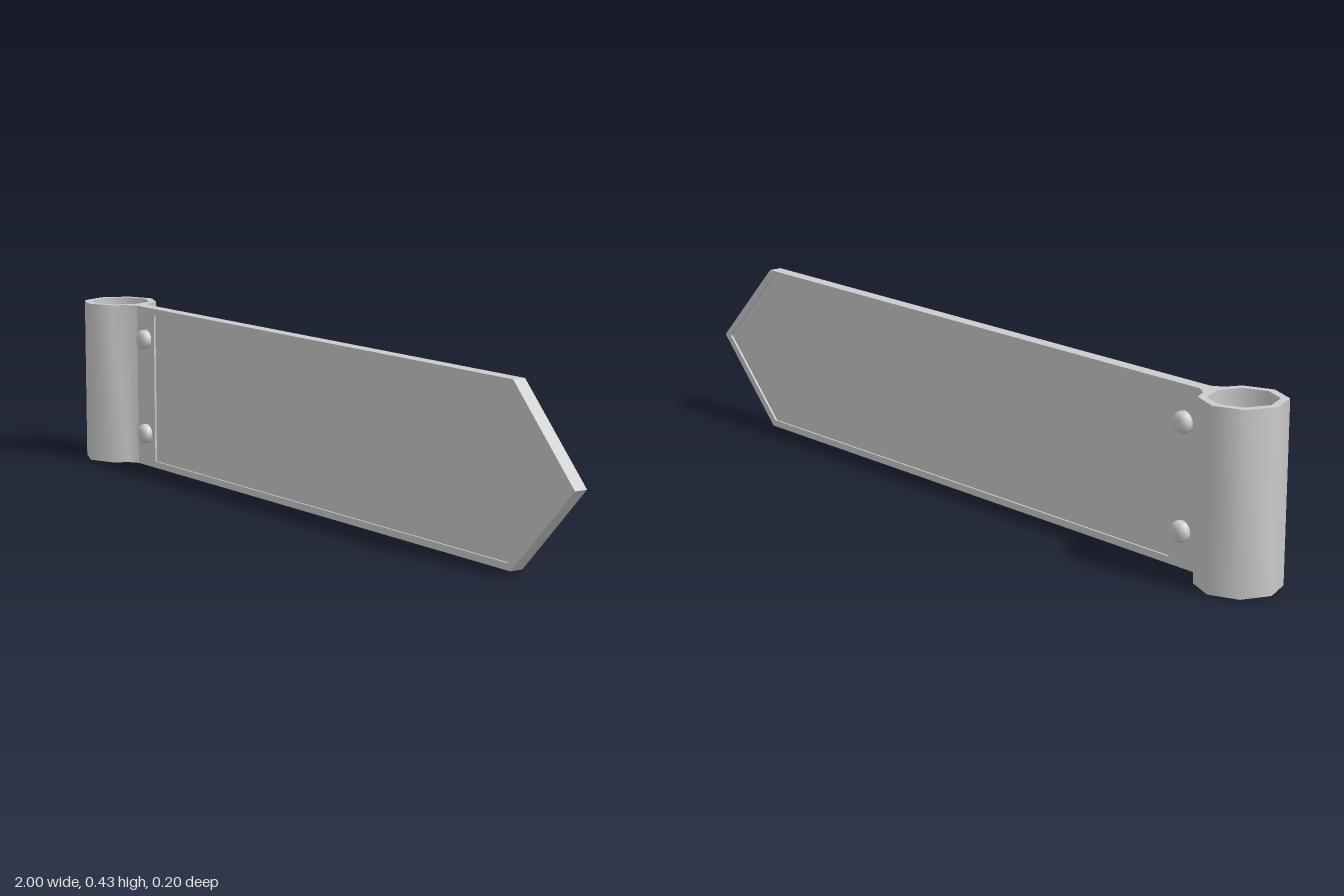
import * as THREE from 'three';
import { toCreasedNormals } from 'three/addons/utils/BufferGeometryUtils.js';

const HEIGHT = 0.43;
const HALF = 0.017; // half thickness of the board
const RECESS = 0.005; // depth of the sunken panel

export function createModel() {
  const group = new THREE.Group();
  const material = new THREE.MeshStandardMaterial({ color: 0xcccccc });

  const add = (name, geometry) => {
    const mesh = new THREE.Mesh(geometry, material);
    mesh.name = name;
    group.add(mesh);
    return mesh;
  };
  const points = (list) => list.map(([x, y]) => new THREE.Vector2(x, y));
  const extrude = (shape, depth) => new THREE.ExtrudeGeometry(shape, { depth, bevelEnabled: false });

  // Arrow outline: straight left end, pointed right end
  const arrow = (left, shoulder, tip, inset) => points([
    [left, inset], [shoulder, inset], [tip, HEIGHT / 2],
    [shoulder, HEIGHT - inset], [left, HEIGHT - inset],
  ]);
  const panelOutline = arrow(-0.7, 0.78, 0.975, 0.017);

  // Raised rim of the board, open where the panel sits
  const rim = new THREE.Shape(arrow(-0.785, 0.79, 1, 0));
  rim.holes.push(new THREE.Path(panelOutline));
  add('boardRim', extrude(rim, HALF * 2).translate(0, 0, -HALF));

  // Panel sunken on both faces
  const panelHalf = HALF - RECESS;
  add('boardPanel', extrude(new THREE.Shape(panelOutline), panelHalf * 2).translate(0, 0, -panelHalf));

  // Eight-sided pole sleeve with a neck flowing into the board
  const ring = (radius, first, last) => {
    const list = [];
    for (let i = first; i <= last; i++) {
      const a = (i * Math.PI) / 4;
      list.push([-0.9 + radius * Math.cos(a), radius * Math.sin(a)]);
    }
    return list;
  };
  const sleeve = new THREE.Shape(points([
    [-0.785, HALF], [-0.811, 0.034], ...ring(0.1, 1, 7), [-0.811, -0.034], [-0.785, -HALF],
  ]));
  sleeve.holes.push(new THREE.Path(points(ring(0.08, 0, 7))));
  add('poleSleeve', toCreasedNormals(extrude(sleeve, HEIGHT).rotateX(-Math.PI / 2), 0.9));

  // Domed rivets on both faces
  const rivet = new THREE.LatheGeometry(points([
    [0.026, 0], [0.026, 0.01], [0.023, 0.017], [0.016, 0.0215], [0.008, 0.023], [0, 0.023],
  ]), 16);
  for (const side of [1, -1]) {
    for (const y of [0.088, 0.344]) {
      const mesh = add(side > 0 ? 'frontRivet' : 'backRivet', rivet);
      mesh.position.set(-0.74, y, side * HALF);
      mesh.rotation.x = (side * Math.PI) / 2;
    }
  }

  return group;
}
